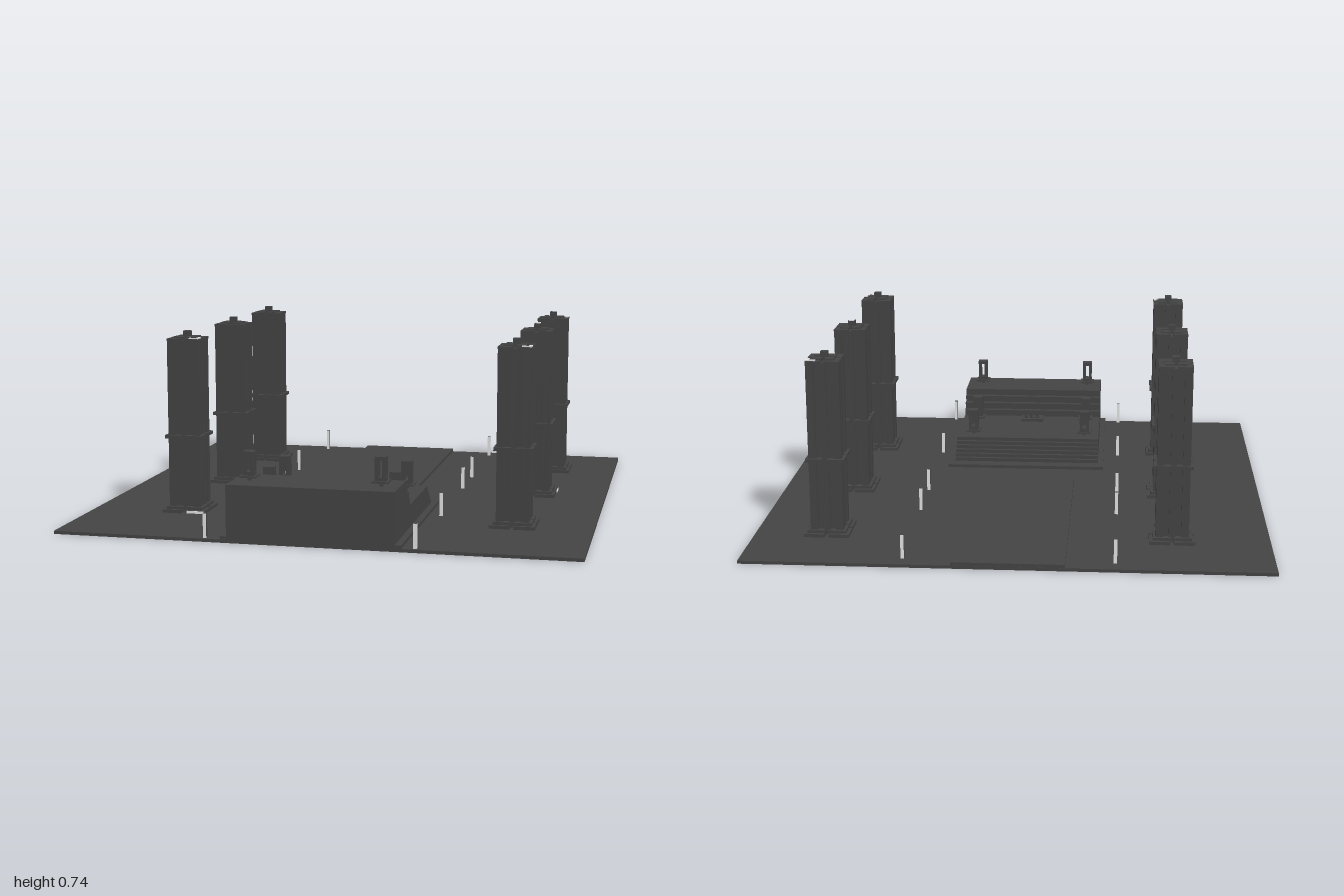
import * as THREE from 'three';

const dark = new THREE.MeshStandardMaterial({ color: 0x444444 });
dark.name = 'dark stone';
const pale = new THREE.MeshStandardMaterial({ color: 0xe4e4e4 });
pale.name = 'pale trim';

// Box given by its centre in x and z and its bottom and top heights
function box(parent, name, x, z, y0, y1, w, d, material = dark) {
  const mesh = new THREE.Mesh(new THREE.BoxGeometry(w, y1 - y0, d), material);
  mesh.position.set(x, (y0 + y1) / 2, z);
  mesh.name = name;
  parent.add(mesh);
  return mesh;
}

// Four equal blocks that make a square of the given size, parted by a cross-shaped gap
function quarters(parent, name, size, gap, y0, y1) {
  const w = (size - gap) / 2;
  const o = (size + gap) / 4;
  for (const sx of [-1, 1]) for (const sz of [-1, 1]) box(parent, name, sx * o, sz * o, y0, y1, w, w);
}

// Clustered tower: stepped foot, core with pillars, collar, cap and finial
function tower(x, z) {
  const g = new THREE.Group();
  g.name = 'tower';
  g.position.set(x, 0, z);
  quarters(g, 'towerFoot', 0.176, 0.014, 0.01, 0.025);
  quarters(g, 'towerPlinth', 0.15, 0.01, 0.025, 0.036);
  box(g, 'towerCore', 0, 0, 0.01, 0.7, 0.1, 0.1);
  for (const sx of [-1, 1]) {
    for (const sz of [-1, 1]) box(g, 'cornerPillar', sx * 0.049, sz * 0.049, 0.03, 0.7, 0.03, 0.03);
    box(g, 'sidePillar', sx * 0.048, 0, 0.03, 0.7, 0.028, 0.026);
    box(g, 'facePillar', 0, sx * 0.048, 0.03, 0.7, 0.026, 0.028);
  }
  quarters(g, 'towerCollar', 0.15, 0.012, 0.311, 0.324);
  quarters(g, 'towerCap', 0.13, 0.012, 0.698, 0.708);
  quarters(g, 'towerCrown', 0.085, 0.012, 0.708, 0.714);
  box(g, 'finial', 0, 0, 0.7, 0.735, 0.028, 0.028);
  return g;
}

// L-shaped strip on one corner of a tower cap
function cornerTrim(g, sx, sz) {
  box(g, 'capTrim', sx * 0.045, sz * 0.055, 0.708, 0.712, 0.038, 0.012, pale);
  box(g, 'capTrim', sx * 0.058, sz * 0.036, 0.708, 0.712, 0.012, 0.026, pale);
}

// Open lantern on a thin plate
function lantern(x, z, y, windowTop) {
  const g = new THREE.Group();
  g.name = 'lantern';
  g.position.set(x, y, z);
  box(g, 'lanternStem', 0, 0, 0, 0.016, 0.012, 0.012);
  box(g, 'lanternPlate', 0, 0, 0.014, 0.021, 0.062, 0.062);
  box(g, 'lanternBase', 0, 0, 0.021, 0.036, 0.042, 0.042);
  for (const sx of [-1, 1])
    for (const sz of [-1, 1]) box(g, 'lanternPost', sx * 0.014, sz * 0.014, 0.036, windowTop, 0.013, 0.013);
  box(g, 'lanternHead', 0, 0, windowTop, 0.112, 0.042, 0.042);
  return g;
}

// Stepped side profile of the platform, in z and y
function platformShape() {
  const s = new THREE.Shape();
  s.moveTo(1, 0);
  s.lineTo(1, 0.22);
  const flight = (z0, z1, y0, y1, n) => {
    for (let i = 0; i < n; i++) {
      const z = z0 + ((z1 - z0) * i) / (n - 1);
      s.lineTo(z, y0 + ((y1 - y0) * i) / n);
      s.lineTo(z, y0 + ((y1 - y0) * (i + 1)) / n);
    }
  };
  flight(0.782, 0.706, 0.22, 0.112, 4);
  flight(0.337, 0.257, 0.112, 0.025, 6);
  s.lineTo(0.257, 0);
  s.closePath();
  return s;
}

export function createModel() {
  const model = new THREE.Group();
  model.name = 'templeCourt';

  // Ground and raised walk
  box(model, 'ground', 0, 0, 0, 0.012, 2, 2);
  box(model, 'walkway', -0.008, -0.484, 0.001, 0.025, 0.424, 1.03);

  // Stepped platform on its low footing
  box(model, 'platformFooting', 0, 0.6, 0.001, 0.025, 0.684, 0.798);
  const geo = new THREE.ExtrudeGeometry(platformShape(), { depth: 0.636, bevelEnabled: false });
  geo.rotateY(-Math.PI / 2);
  geo.translate(0.318, 0, 0);
  const platform = new THREE.Mesh(geo, dark);
  platform.name = 'platform';
  model.add(platform);

  // Lanterns in mirrored pairs
  for (const x of [-0.254, 0.248]) {
    model.add(lantern(x, 0.9, 0.22, 0.098));
    model.add(lantern(x, 0.633, 0.112, 0.052));
    model.add(lantern(x, 0.403, 0.112, 0.052));
  }

  // Low altar with small stones
  box(model, 'altar', -0.005, 0.643, 0.11, 0.125, 0.1, 0.068);
  for (let i = 0; i < 3; i++)
    for (const dz of [-0.009, 0.011]) {
      const stone = box(model, 'altarStone', -0.03 + i * 0.025, 0.643 + dz, 0.125, 0.131, 0.013, 0.013);
      stone.rotation.y = Math.PI / 4;
    }

  // Two rows of three towers
  const towers = [
    [-0.62, -0.645], [-0.62, -0.09], [-0.62, 0.52],
    [0.715, -0.645], [0.705, -0.09], [0.692, 0.52],
  ].map(([x, z]) => tower(x, z));
  model.add(...towers);
  cornerTrim(towers[2], 1, 1);
  cornerTrim(towers[3], 1, -1);
  cornerTrim(towers[5], 1, 1);
  box(towers[4], 'finialTrim', 0, 0, 0.735, 0.738, 0.022, 0.022, pale);
  box(towers[2], 'footTrim', 0.05, 0.089, 0.014, 0.024, 0.07, 0.004, pale);
  box(towers[4], 'footTrim', 0.089, -0.05, 0.014, 0.024, 0.004, 0.06, pale);

  // Thin marker posts, dark on the top and on the side facing the middle
  for (const x of [-0.405, 0.39])
    for (const z of [-0.93, -0.38, -0.123, 0.427, 0.98]) {
      const faces = x > 0 ? [pale, dark, dark, dark, pale, pale] : [dark, pale, dark, dark, pale, pale];
      box(model, 'markerPost', x, z, 0.01, 0.105, 0.013, 0.013, faces);
    }

  return model;
}
